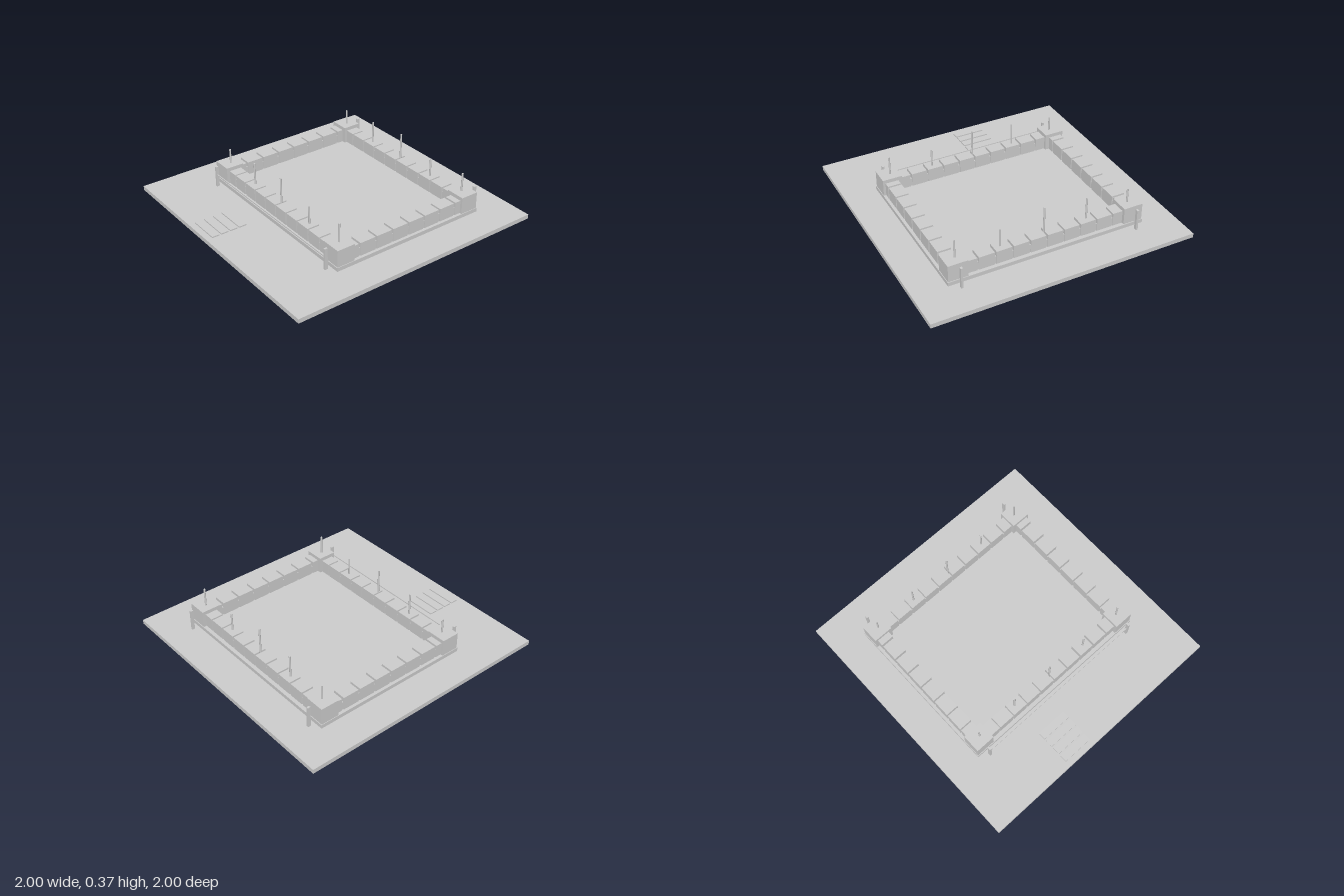
import * as THREE from 'three';

export function createModel() {
  const group = new THREE.Group();
  const stone = new THREE.MeshStandardMaterial({ color: 0xcccccc });
  stone.name = 'pale grey stone';

  const add = (name, geometry, x, y, z) => {
    const mesh = new THREE.Mesh(geometry, stone);
    mesh.name = name;
    mesh.position.set(x, y, z);
    group.add(mesh);
    return mesh;
  };
  // Box given by its centre in plan and its bottom and top heights
  const block = (name, x, z, w, d, y0, y1) =>
    add(name, new THREE.BoxGeometry(w, y1 - y0, d), x, (y0 + y1) / 2, z);

  const GROUND = 0.033, FLOOR = 0.067, WALL = 0.128, MERLON = 0.167, TOWER = 0.195;
  const CZ = -0.107; // centre of the fort in z

  // Ground and courtyard platform
  block('ground', 0, 0, 2, 2, 0, GROUND);
  block('footing', 0, CZ, 1.46, 1.2, GROUND, 0.038);
  block('platform', 0, CZ, 1.505, 1.245, 0.038, FLOOR);

  // Corner towers
  for (const sx of [-1, 1]) for (const sz of [-1, 1])
    block('cornerTower', sx * 0.674, CZ + sz * 0.547, 0.148, 0.14, FLOOR, TOWER);

  // Front and back walls with merlons
  for (const s of [-1, 1]) {
    const z = CZ + s * 0.546;
    block('longWall', 0, z, 1.22, 0.085, FLOOR, WALL);
    for (let i = 0; i < 10; i++) {
      const outer = i === 0 || i === 9;
      const x = outer ? Math.sign(i - 5) * 0.565 : (i - 4.5) * 0.1297;
      block('longMerlon', x, z, outer ? 0.08 : 0.117, 0.096, FLOOR, MERLON);
    }
  }

  // Side walls with merlons
  for (const s of [-1, 1]) {
    const x = s * 0.68;
    block('sideWall', x, CZ, 0.088, 0.96, FLOOR, WALL);
    for (let i = 0; i < 8; i++) {
      const outer = i === 0 || i === 7;
      const z = outer ? Math.sign(i - 4) * 0.455 : (i - 3.5) * 0.1405;
      block('sideMerlon', x, CZ + z, 0.1, outer ? 0.05 : 0.126, FLOOR, MERLON);
    }
  }

  // Flagpoles of differing heights along the front and back
  const tops = [0.305, 0.335, 0.368, 0.305, 0.335];
  for (const z of [-0.652, 0.436])
    tops.forEach((top, i) => {
      const h = top - 0.12;
      add('flagpole', new THREE.CylinderGeometry(0.007, 0.007, h, 8), (i - 2) * 0.3325, 0.12 + h / 2, z);
    });

  // Posts outside the walls, with a rail across the front
  for (const x of [-0.674, 0.674]) for (const z of [-0.772, 0.552])
    block('post', x, z, 0.016, 0.022, GROUND, TOWER);
  block('frontRail', 0, 0.552, 1.34, 0.007, 0.122, 0.13);

  // Low slabs in front of the fort
  for (let i = 0; i < 4; i++)
    block('pathSlab', -0.202, 0.708 + i * 0.0725, 0.235, 0.058, GROUND, 0.042);

  return group;
}
